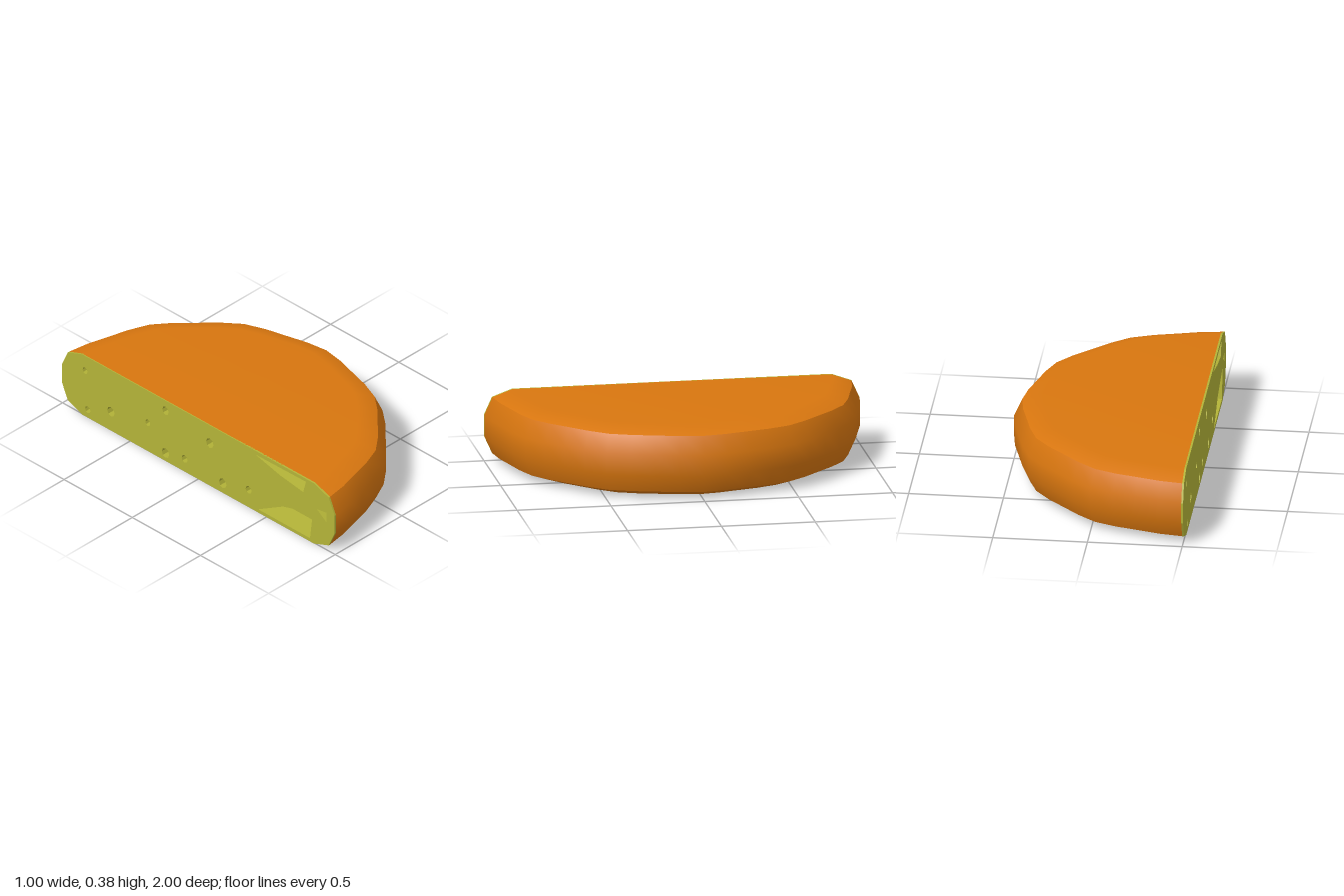
import * as THREE from 'three';

const CUT = -0.505;
const MID = 0.192;
// half section of the wheel: radius, height
const PROFILE = [[0, 0], [0.85, 0], [0.957, 0.04], [1, 0.135], [1, 0.25], [0.957, 0.345], [0.85, 0.384], [0, 0.384]];
const RIPPLE = [1, 0.989, 0.98, 0.989]; // slightly uneven rim

// small round pits: z, y, radius
const PITS = [
  [-0.83, 0.29, 0.02], [-0.81, 0.05, 0.022], [-0.64, 0.12, 0.03], [-0.37, 0.18, 0.02],
  [-0.24, 0.32, 0.026], [-0.24, 0.05, 0.03], [-0.1, 0.08, 0.024], [0.085, 0.27, 0.03],
  [0.18, 0.06, 0.03], [0.37, 0.11, 0.024],
];
// angular broken pockets near one end: z, y
const POCKETS = [
  [[0.44, 0.02], [0.82, 0.02], [0.84, 0.19], [0.62, 0.125]],
  [[0.42, 0.36], [0.6, 0.315], [0.77, 0.29], [0.79, 0.365]],
  [[0.87, 0.23], [0.94, 0.18], [0.94, 0.24]],
];

const toPoints = (list) => list.map(([a, b]) => new THREE.Vector2(a, b));

// outline of the cut, scaled about its middle
function cutShape(scale, withHoles) {
  const half = PROFILE.slice(1, -1);
  const outline = [...half, ...half.map(([r, y]) => [-r, y]).reverse()]
    .map(([z, y]) => [z * scale, MID + (y - MID) * scale]);
  const shape = new THREE.Shape(toPoints(outline));
  if (withHoles) {
    for (const [z, y, r] of PITS) {
      shape.holes.push(new THREE.Path().absellipse(z, y, r * 0.9, r, 0, Math.PI * 2, true));
    }
    for (const pocket of POCKETS) shape.holes.push(new THREE.Path(toPoints(pocket)));
  }
  return shape;
}

// slab standing in the cut plane, reaching inward from x
function slab(name, shape, x, depth, material) {
  const geo = new THREE.ExtrudeGeometry(shape, { depth, bevelEnabled: false, curveSegments: 4 });
  geo.rotateY(-Math.PI / 2).translate(x + depth, 0, 0);
  const mesh = new THREE.Mesh(geo, material);
  mesh.name = name;
  return mesh;
}

// half-turn band of rind, smooth within itself
function rindBand(name, from, to, material) {
  const geo = new THREE.LatheGeometry(toPoints(PROFILE.slice(from, to)), 24, 0, Math.PI);
  const pos = geo.attributes.position;
  const count = to - from;
  for (let i = 0; i < pos.count; i++) {
    const k = RIPPLE[Math.floor(i / count) % 4];
    pos.setXYZ(i, pos.getX(i) * k - 0.5, pos.getY(i), pos.getZ(i) * k);
  }
  const mesh = new THREE.Mesh(geo, material);
  mesh.name = name;
  return mesh;
}

export function createModel() {
  const group = new THREE.Group();
  group.name = 'halfCheeseWheel';
  const rind = new THREE.MeshStandardMaterial({ color: 0xd8760f });
  const flesh = new THREE.MeshStandardMaterial({ color: 0xb4b438 });

  // rind, creased where the rim meets top and bottom
  group.add(
    rindBand('bottomRind', 0, 3, rind),
    rindBand('sideRind', 2, 6, rind),
    rindBand('topRind', 5, 8, rind),
  );

  // cut face with pits, the pocket walls behind it, and their floor
  group.add(
    slab('cutFace', cutShape(1, true), CUT, 0.01, flesh),
    slab('pocketWalls', cutShape(0.95, true), CUT + 0.01, 0.12, flesh),
    slab('pocketFloor', cutShape(0.95, false), CUT + 0.13, 0.01, flesh),
  );
  return group;
}
